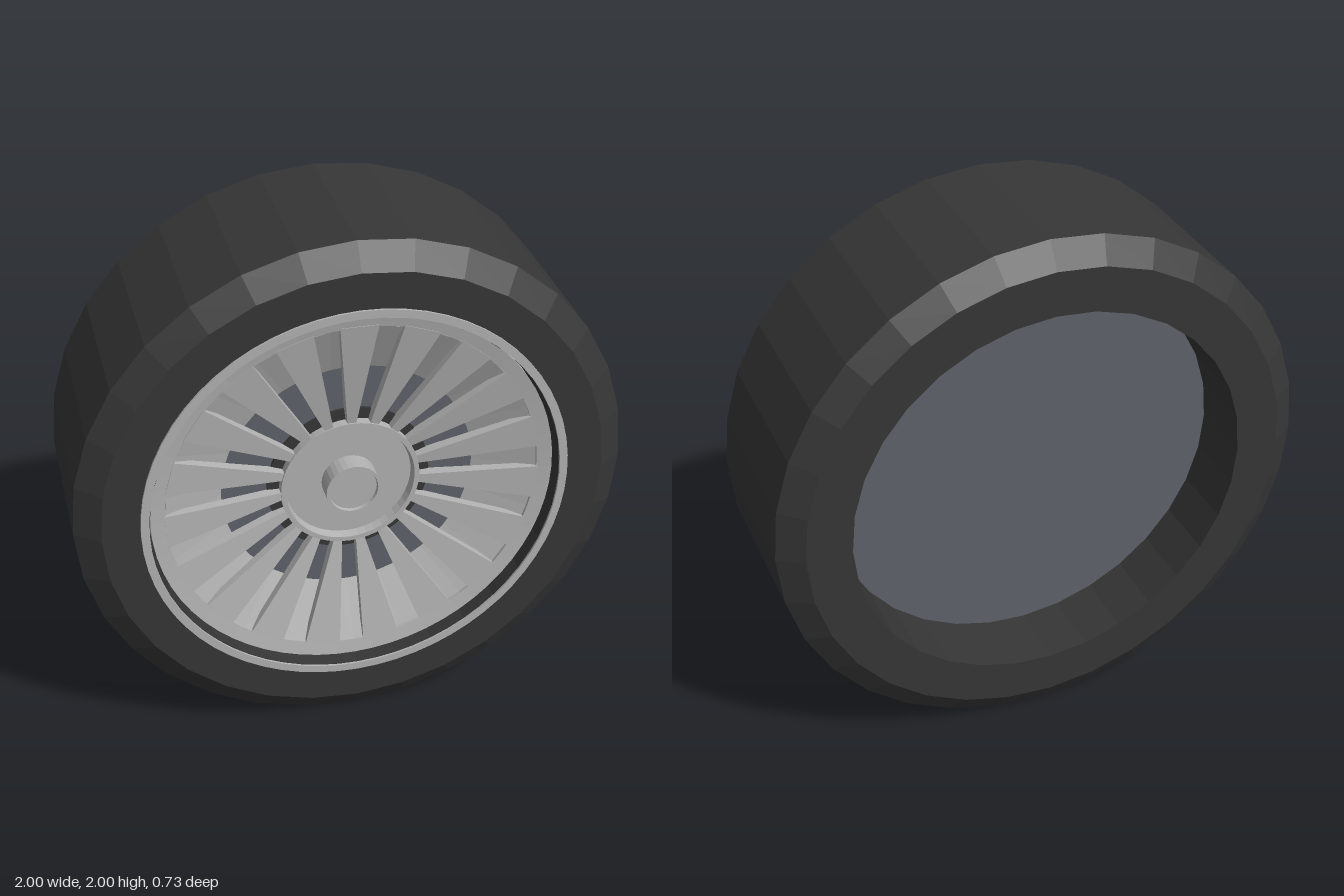
import * as THREE from 'three';

const mat = (name, color) => {
  const m = new THREE.MeshStandardMaterial({ color, flatShading: true, side: THREE.DoubleSide });
  m.name = name;
  return m;
};

export function createModel() {
  const rubber = mat('rubber', 0x363636);
  const alloy = mat('alloy', 0xb2b2b2);
  const steel = mat('brakeSteel', 0x5f626b);

  // The wheel is built about its own centre and lifted to stand on the ground
  const wheel = new THREE.Group();
  wheel.name = 'wheel';
  wheel.position.y = 1;

  // Spins a profile of [radius, z] points about the axle
  const turned = (name, points, material, sides) => {
    const geo = new THREE.LatheGeometry(points.map(p => new THREE.Vector2(...p)), sides);
    geo.rotateX(Math.PI / 2);
    const mesh = new THREE.Mesh(geo, material);
    mesh.name = name;
    wheel.add(mesh);
  };

  // Tyre with bevelled shoulders and a straight bore
  turned('tyre', [[0.745, -0.36], [0.91, -0.36], [1, -0.3], [1, 0.3], [0.91, 0.36],
    [0.745, 0.36], [0.745, -0.36]], rubber, 32);

  // Thin lip over the tyre edge, and the inner rim ring
  turned('rimLip', [[0.745, 0.36], [0.775, 0.36], [0.775, 0.368], [0.745, 0.368], [0.745, 0.36]], alloy, 64);
  turned('rimRing', [[0.735, -0.09], [0.735, 0.315], [0.68, 0.305]], alloy, 64);

  // Sloping dish behind the spokes
  turned('dish', [[0.68, 0.305], [0.68, 0.295], [0.465, 0.2]], alloy, 48);

  // Brake disc and the closed back of the wheel
  turned('brakeDisc', [[0.47, 0.19], [0.47, 0.2], [0, 0.2]], steel, 48);
  turned('backPlate', [[0, -0.108], [0.745, -0.108]], steel, 32);

  // Dark collar round the hub
  turned('hubCollar', [[0.3, 0.2], [0.3, 0.208], [0.25, 0.208]], rubber, 48);

  // Hub with raised edge, and the centre cap
  turned('hub', [[0.256, 0.19], [0.256, 0.243], [0.238, 0.243], [0.232, 0.21], [0, 0.21]], alloy, 48);
  turned('centreCap', [[0.1, 0.2], [0.1, 0.285], [0.09, 0.285], [0.088, 0.272], [0, 0.272]], alloy, 32);

  // Tapered spokes that lean forward towards the rim
  const spokeGeo = new THREE.BoxGeometry(1, 1, 1);
  const p = spokeGeo.attributes.position;
  for (let i = 0; i < p.count; i++) {
    const outer = p.getY(i) > 0;
    const front = p.getZ(i) > 0;
    p.setXYZ(i, p.getX(i) * (outer ? 0.135 : 0.03), outer ? 0.682 : 0.245,
      outer ? (front ? 0.308 : 0.28) : (front ? 0.235 : 0.195));
  }
  spokeGeo.computeVertexNormals();
  const count = 19;
  for (let i = 0; i < count; i++) {
    const spoke = new THREE.Mesh(spokeGeo, alloy);
    spoke.name = 'spoke';
    spoke.rotation.z = (i / count) * Math.PI * 2 - 0.015;
    wheel.add(spoke);
  }

  const model = new THREE.Group();
  model.name = 'roadWheel';
  model.add(wheel);
  return model;
}
